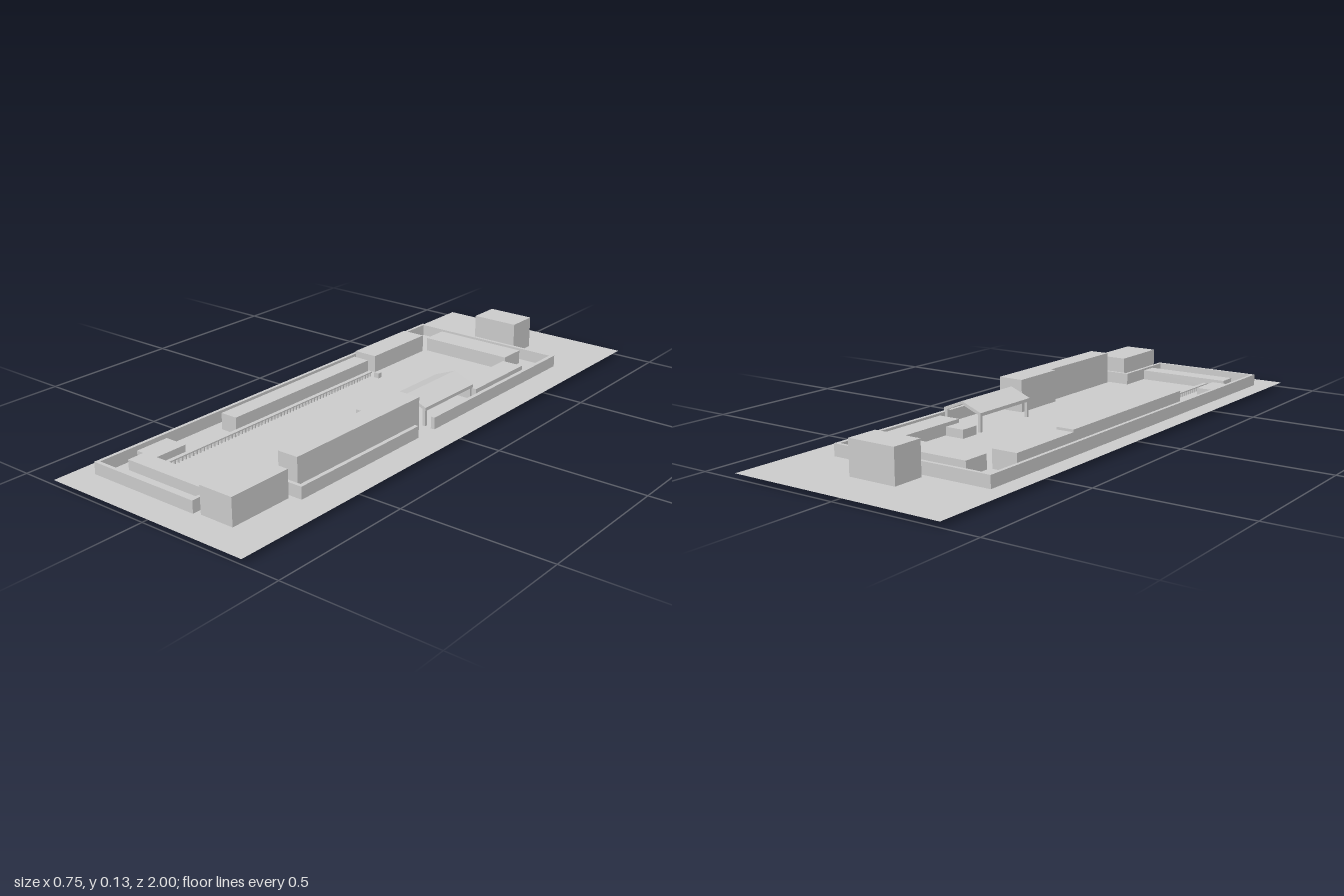
import * as THREE from 'three';

const GROUND = 0.016;
const material = new THREE.MeshStandardMaterial({ color: 0xcccccc, flatShading: true, side: THREE.DoubleSide });

// Outline in plan, given as [x, z] corners
const plan = (points) => points.map(([x, z]) => new THREE.Vector2(x, -z));
const rect = (x0, x1, z0, z1) => [[x0, z0], [x1, z0], [x1, z1], [x0, z1]];

function mesh(name, geometry, parent) {
  const m = new THREE.Mesh(geometry, material);
  m.name = name;
  parent.add(m);
  return m;
}

// Hollow block: walls and flat roof, open underneath
function hollowBlock(name, outline, top, parent) {
  const solid = new THREE.ExtrudeGeometry(new THREE.Shape(plan(outline)), { depth: top - GROUND, bevelEnabled: false });
  const skip = solid.groups[0].count / 2; // bottom lid comes first
  const g = new THREE.BufferGeometry();
  for (const key of ['position', 'normal']) {
    const a = solid.attributes[key];
    g.setAttribute(key, new THREE.BufferAttribute(a.array.slice(skip * 3), 3));
  }
  g.rotateX(-Math.PI / 2).translate(0, GROUND, 0);
  return mesh(name, g, parent);
}

function box(name, x0, x1, y0, y1, z0, z1, parent) {
  const g = new THREE.BoxGeometry(x1 - x0, y1 - y0, z1 - z0);
  g.translate((x0 + x1) / 2, (y0 + y1) / 2, (z0 + z1) / 2);
  return mesh(name, g, parent);
}

export function createModel() {
  const model = new THREE.Group();
  model.name = 'walledCompound';

  // Perimeter wall: outer line out, inner line back, gate gap on the +x side
  const wall = [
    [0.27, 0.02], [0.27, -0.71], [-0.31, -0.71], [-0.31, 0.9], [0.095, 0.9], [0.095, 0.652], [0.27, 0.652], [0.27, 0.105],
    [0.256, 0.105], [0.256, 0.64], [0.083, 0.64], [0.083, 0.888], [-0.298, 0.888], [-0.298, -0.698], [0.256, -0.698], [0.256, 0.02],
  ];

  // Name, plan outline, roof height
  const buildings = [
    ['perimeterWall', wall, 0.056],
    ['rearTower', rect(-0.083, 0.086, -0.84, -0.73), 0.128],
    ['rearHall', rect(-0.185, 0.155, -0.66, -0.565), 0.064],
    ['rearRightHall', rect(-0.28, -0.193, -0.55, -0.265), 0.076],
    ['rearLeftHall', rect(0.157, 0.235, -0.55, -0.265), 0.056],
    ['annex', rect(0.085, 0.153, -0.335, -0.268), 0.045],
    ['longHall', rect(-0.254, -0.192, -0.225, 0.435), 0.072],
    ['mainHall', [[0.143, 0.055], [0.235, 0.055], [0.235, 0.628], [0.163, 0.628], [0.163, 0.255], [0.143, 0.255]], 0.128],
    ['frontBlock', rect(0.115, 0.235, 0.667, 0.89), 0.106],
    ['cornerBlock', rect(-0.296, -0.215, 0.63, 0.75), 0.042],
    ['frontHall', rect(-0.255, 0.08, 0.757, 0.82), 0.05],
  ];

  // Ground sheet, cut out under every building
  const sheet = new THREE.Shape(plan(rect(-0.373, 0.373, -1, 1)));
  for (const [name, outline, top] of buildings) {
    hollowBlock(name, outline, top, model);
    sheet.holes.push(new THREE.Path(plan(outline)));
  }
  mesh('ground', new THREE.ShapeGeometry(sheet).rotateX(-Math.PI / 2).translate(0, GROUND, 0), model);

  // Sloped footing under the canopy, narrower at its top
  const footing = box('canopyFooting', 0.07, 0.255, 0, GROUND - 0.0005, -0.275, 0.055, model);
  const p = footing.geometry.attributes.position;
  for (let i = 0; i < p.count; i++) {
    if (p.getY(i) < 0.005) continue;
    p.setX(i, p.getX(i) > 0.16 ? 0.237 : 0.085);
    p.setZ(i, p.getZ(i) > -0.1 ? 0.022 : -0.245);
  }
  footing.geometry.computeVertexNormals();

  // Open gabled canopy on four posts
  const canopy = new THREE.Group();
  canopy.name = 'canopy';
  model.add(canopy);
  const gable = new THREE.Shape([[0.085, 0.08], [0.16, 0.11], [0.235, 0.08], [0.235, 0.069], [0.16, 0.099], [0.085, 0.069]]
    .map(([x, y]) => new THREE.Vector2(x, y)));
  const roof = new THREE.ExtrudeGeometry(gable, { depth: 0.265, bevelEnabled: false });
  mesh('canopyRoof', roof.translate(0, 0, -0.245), canopy);
  for (const x of [0.088, 0.222]) {
    for (const z of [-0.243, 0.008]) box('canopyPost', x, x + 0.01, GROUND, 0.073, z, z + 0.01, canopy);
  }

  // Low picket rail along the courtyard
  const rail = new THREE.Group();
  rail.name = 'picketRail';
  model.add(rail);
  box('topRail', -0.19, -0.175, 0.03, 0.034, -0.225, 0.757, rail);
  for (let i = 0; i <= 65; i++) {
    const z = -0.225 + i * 0.015;
    box('picket', -0.187, -0.178, GROUND, 0.03, z, z + 0.005, rail);
  }
  box('railKiosk', -0.165, -0.145, GROUND, 0.034, -0.24, -0.225, rail);

  return model;
}
